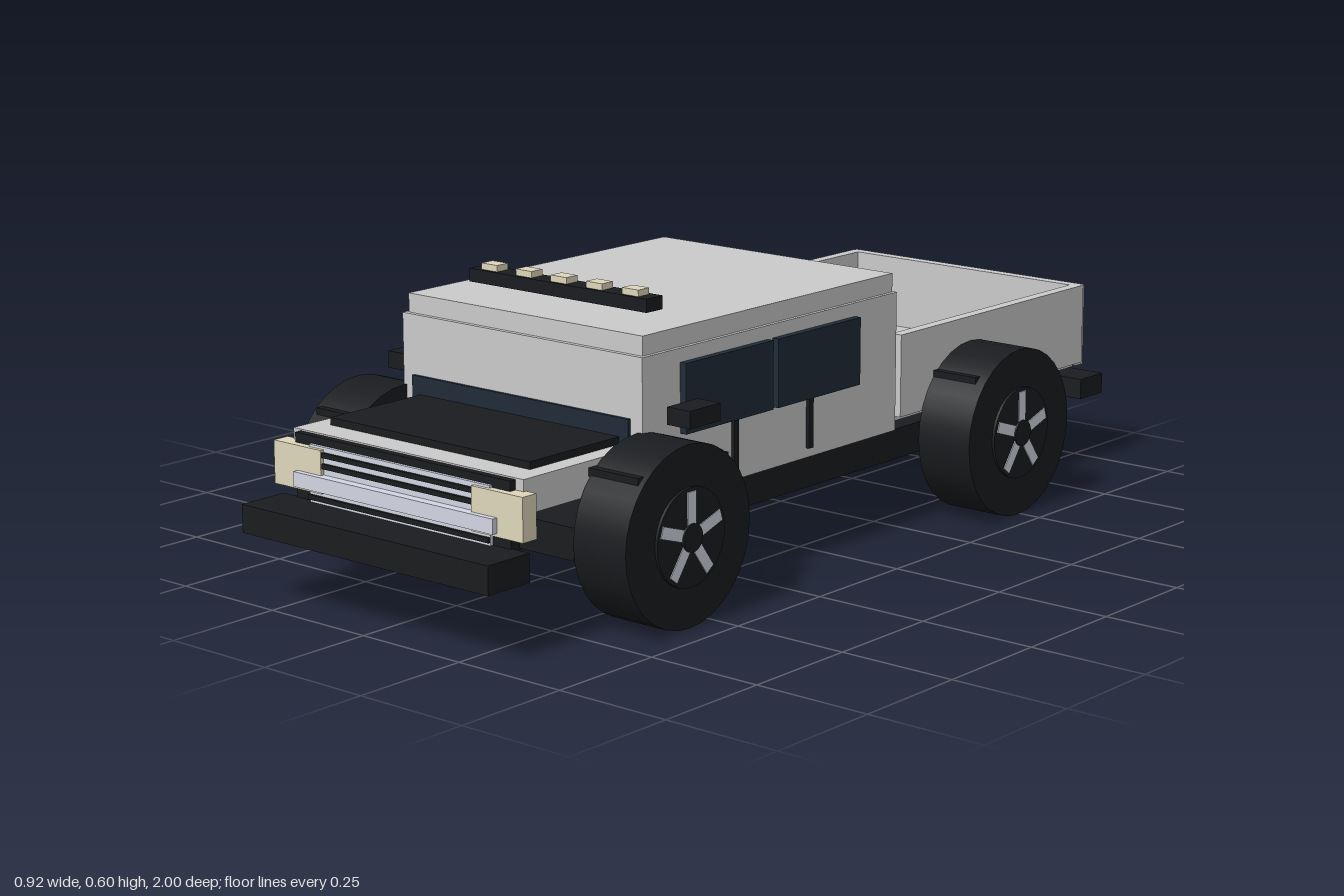
import * as THREE from 'three';

const mat = (color) => new THREE.MeshStandardMaterial({ color });
const grey = mat(0xcccccc), black = mat(0x1a1c1f), glass = mat(0x212c38);
const chrome = mat(0xd4d7e4), cream = mat(0xe0d8bc), red = mat(0xd02525);

export function createModel() {
  const model = new THREE.Group();

  // Box given by its limits on each axis
  function box(name, m, [x0, x1], [y0, y1], [z0, z1], parent = model) {
    const mesh = new THREE.Mesh(new THREE.BoxGeometry(x1 - x0, y1 - y0, z1 - z0), m);
    mesh.position.set((x0 + x1) / 2, (y0 + y1) / 2, (z0 + z1) / 2);
    mesh.name = name;
    parent.add(mesh);
    return mesh;
  }
  const centred = (name, m, half, y, z) => box(name, m, [-half, half], y, z);
  // Same box on the left (+x) and right (-x)
  function pair(name, m, [x0, x1], y, z) {
    box(name + 'Left', m, [x0, x1], y, z);
    box(name + 'Right', m, [-x1, -x0], y, z);
  }

  // Chassis and bumpers
  centred('chassis', black, 0.3, [0.145, 0.21], [-0.83, 0.74]);
  centred('frontBumper', black, 0.327, [0.143, 0.2], [0.89, 1]);
  centred('rearBumper', black, 0.32, [0.155, 0.2], [-1, -0.915]);

  // Cab
  centred('cab', grey, 0.318, [0.215, 0.508], [-0.23, 0.565]);
  centred('roof', grey, 0.31, [0.508, 0.547], [-0.225, 0.555]);
  centred('windscreen', glass, 0.288, [0.335, 0.385], [0.55, 0.572]);
  pair('frontWindow', glass, [0.31, 0.333], [0.34, 0.48], [0.19, 0.455]);
  pair('rearWindow', glass, [0.31, 0.333], [0.34, 0.48], [-0.09, 0.175]);
  for (const z of [0.295, 0.06]) {
    pair('doorTrim', black, [0.31, 0.326], [0.235, 0.345], [z - 0.007, z + 0.007]);
  }
  pair('mirror', black, [0.345, 0.402], [0.375, 0.41], [0.435, 0.525]);

  // Bonnet and nose
  centred('bonnet', grey, 0.305, [0.265, 0.333], [0.56, 0.88]);
  centred('bonnetPanel', black, 0.265, [0.333, 0.348], [0.56, 0.82]);
  centred('grille', black, 0.285, [0.165, 0.33], [0.87, 0.895]);
  centred('grillePanel', chrome, 0.24, [0.2, 0.315], [0.89, 0.902]);
  for (const [y, half] of [[0.3, 0.2], [0.278, 0.2], [0.211, 0.24]]) {
    centred('grilleSlat', black, half, [y - 0.005, y + 0.005], [0.895, 0.908]);
  }
  centred('grilleBar', chrome, 0.265, [0.23, 0.26], [0.9, 0.922]);
  pair('headlight', cream, [0.2, 0.33], [0.223, 0.31], [0.873, 0.91]);

  // Roof light bar
  centred('lightBar', black, 0.235, [0.565, 0.592], [0.41, 0.457]);
  for (let i = -2; i <= 2; i++) {
    const x = i * 0.0935;
    box('roofLamp', cream, [x - 0.021, x + 0.021], [0.592, 0.605], [0.418, 0.45]);
  }

  // Open cargo bed
  centred('bedFloor', grey, 0.3, [0.228, 0.255], [-0.91, -0.245]);
  pair('bedSide', grey, [0.295, 0.32], [0.24, 0.415], [-0.915, -0.245]);
  centred('tailgate', grey, 0.318, [0.235, 0.415], [-0.922, -0.897]);
  pair('tailLight', red, [0.192, 0.275], [0.267, 0.332], [-0.936, -0.92]);

  // Wheels: built along +x, turned round for the right side
  function wheel(name, x, z, side) {
    const g = new THREE.Group();
    g.name = name;
    const disc = (part, r, x0, x1) => {
      const geo = new THREE.CylinderGeometry(r, r, x1 - x0, 32).rotateZ(-Math.PI / 2);
      const mesh = new THREE.Mesh(geo, black);
      mesh.position.x = (x0 + x1) / 2;
      mesh.name = part;
      g.add(mesh);
    };
    disc('tyre', 0.18, -0.065, 0.065);
    disc('rim', 0.098, -0.07, 0.071);
    disc('hub', 0.028, 0.06, 0.076);
    for (let i = 0; i < 5; i++) {
      const spoke = new THREE.Group();
      spoke.name = 'spoke';
      box('spokeBlade', chrome, [0.06, 0.073], [0.02, 0.09], [-0.012, 0.012], spoke);
      spoke.rotation.x = (i * Math.PI * 2) / 5;
      g.add(spoke);
    }
    g.position.set(side * x, 0.182, z);
    if (side < 0) g.rotation.y = Math.PI;
    model.add(g);
  }
  for (const side of [1, -1]) {
    const label = side > 0 ? 'Left' : 'Right';
    wheel('frontWheel' + label, 0.375, 0.573, side);
    wheel('rearWheel' + label, 0.385, -0.49, side);
  }
  // Flat mudguards across the tyre tops
  for (const z of [0.573, -0.49]) {
    pair('mudguard', black, [0.3, 0.428], [0.303, 0.32], [z - 0.13, z + 0.13]);
  }

  return model;
}
